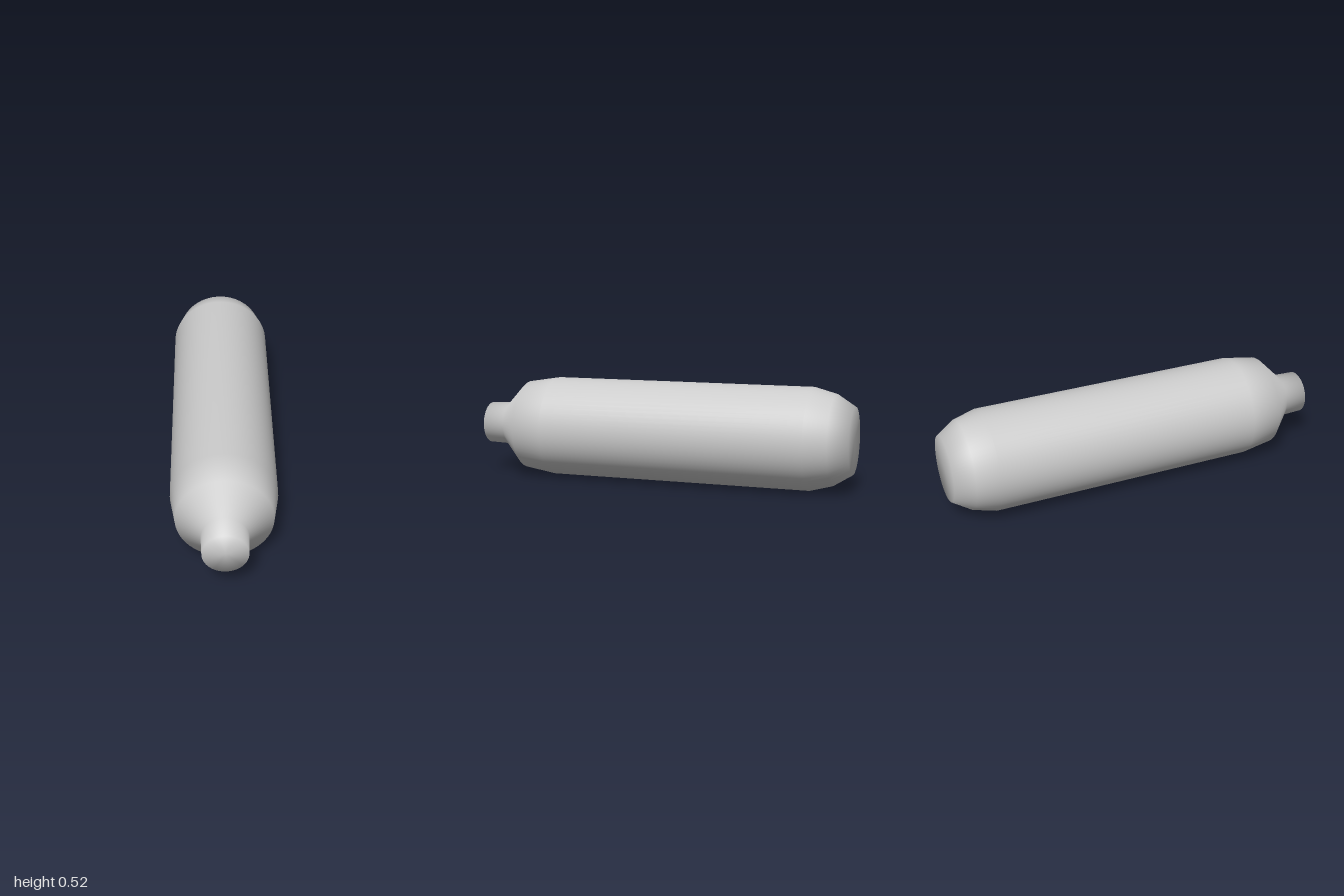
import * as THREE from 'three';

export function createModel() {
  const group = new THREE.Group();
  group.name = 'gasCartridge';
  const radius = 0.261;

  // Half outline from the blunt back end to the neck: [radius, z]
  const outline = [
    [0, -1], [0.17, -1],                 // flat back
    [0.23, -0.905], [radius, -0.79],     // rounded back edge
    [radius, 0.6], [0.235, 0.765],       // barrel and shoulder
    [0.113, 0.885], [0.109, 1], [0, 1],  // neck and its closed end
  ].map(([r, z]) => new THREE.Vector2(r, z));

  // Smooth turned body, laid along z
  const geometry = new THREE.LatheGeometry(outline, 64);
  geometry.rotateX(Math.PI / 2);
  const body = new THREE.Mesh(geometry, new THREE.MeshStandardMaterial({ color: 0xcccccc }));
  body.name = 'cartridgeBody';
  body.position.y = radius;
  group.add(body);

  return group;
}
